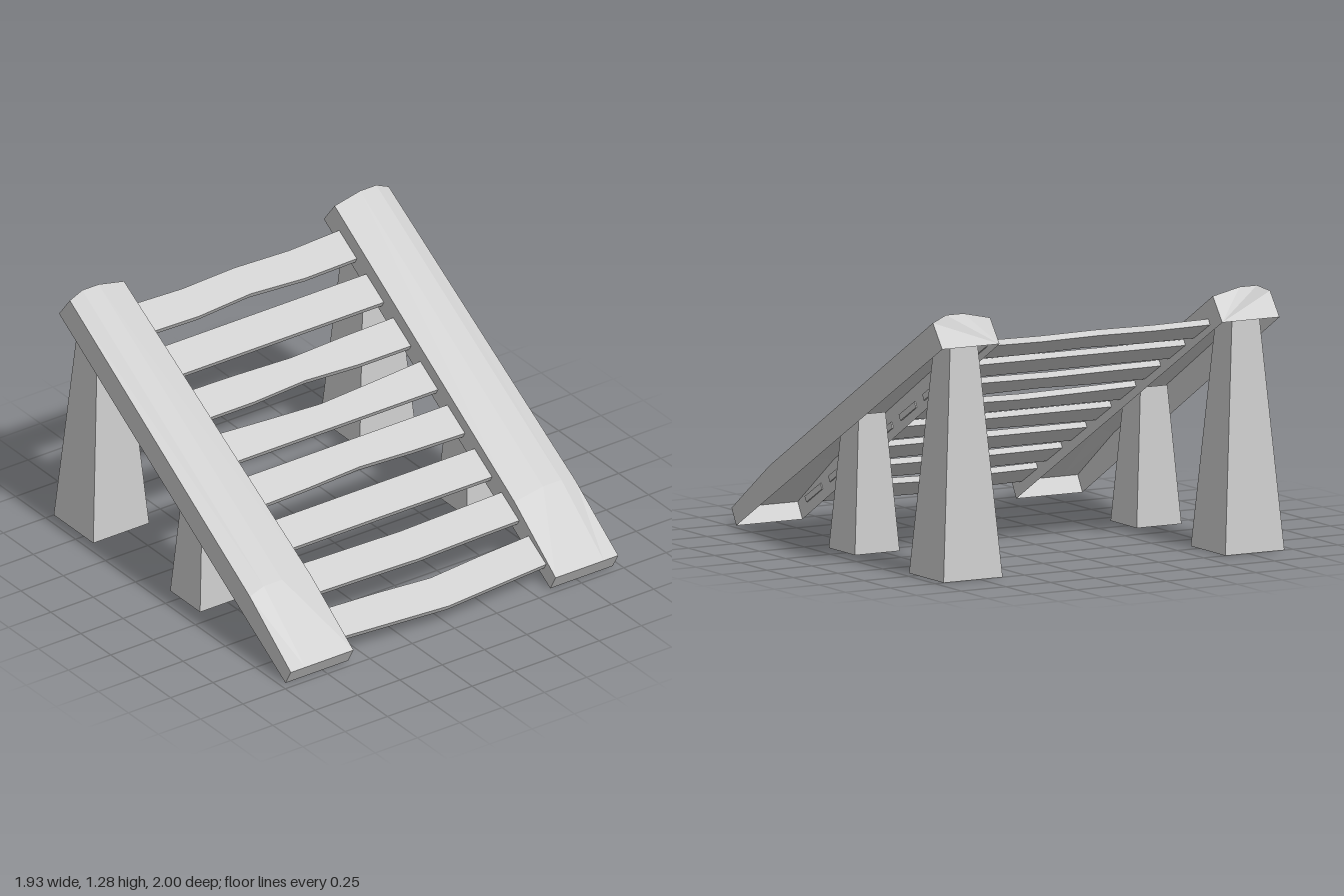
import * as THREE from 'three';

const SLOPE = 0.59;
const underside = z => SLOPE * (0.955 - z);
const material = new THREE.MeshStandardMaterial({ color: 0xcccccc, flatShading: true, side: THREE.DoubleSide });

// Skins a list of equal-length cross-sections; optional end caps.
function loft(rings, { closed = false, flip = false } = {}) {
  const pos = [];
  const tri = (a, b, c) => pos.push(...a, ...(flip ? c : b), ...(flip ? b : c));
  const n = rings[0].length;
  for (let i = 0; i < rings.length - 1; i++) {
    for (let j = 0; j < (closed ? n : n - 1); j++) {
      const k = (j + 1) % n;
      const [a, b, c, d] = [rings[i][j], rings[i + 1][j], rings[i + 1][k], rings[i][k]];
      tri(a, b, c);
      tri(a, c, d);
    }
  }
  const first = rings[0], last = rings[rings.length - 1];
  for (let j = 1; j < n - 1; j++) {
    tri(first[0], first[j], first[j + 1]);
    tri(last[0], last[j + 1], last[j]);
  }
  const g = new THREE.BufferGeometry();
  g.setAttribute('position', new THREE.Float32BufferAttribute(pos, 3));
  g.computeVertexNormals();
  return g;
}

function addMesh(parent, geometry, name) {
  const m = new THREE.Mesh(geometry, material);
  m.name = name;
  parent.add(m);
}

// Rail: bevelled shell, open underneath, wider at the low end
function rail(side) {
  const stations = [
    { zb: 0.955, zt: 1.0, edge: 0.08, crown: 0.08, inner: 0.597, outer: 0.967 },
    { zb: 0.56, zt: 0.65, edge: 0.335, crown: 0.365, inner: 0.602, outer: 0.962 },
    { zb: -0.97, zt: -0.88, edge: 1.252, crown: 1.285, inner: 0.622, outer: 0.942 },
  ];
  const rings = stations.map(s => {
    const at = (t, y, z) => [side * THREE.MathUtils.lerp(s.inner, s.outer, t), y, z];
    const yb = underside(s.zb);
    return [
      at(0, yb, s.zb), at(0, s.edge, s.zt), at(0.47, s.crown, s.zt),
      at(0.77, s.crown, s.zt), at(1, s.edge, s.zt), at(1, yb, s.zb),
    ];
  });
  return loft(rings, { flip: side > 0 });
}

// Leg: tapered square post with its top cut to the rail's slope
function leg(x, z, half, taper) {
  const g = new THREE.BoxGeometry(1, 1, 1).toNonIndexed();
  const p = g.attributes.position;
  for (let i = 0; i < p.count; i++) {
    const sx = Math.sign(p.getX(i)), sz = Math.sign(p.getZ(i));
    const y = p.getY(i) > 0 ? underside(z + sz * half * 0.5) + 0.1 : 0;
    const h = half - taper * y;
    p.setXYZ(i, x + sx * h, y, z + sz * h);
  }
  g.computeVertexNormals();
  return g;
}

// Slat: thin tilted board; [back, front] edge shifts at the quarter and the middle
function slat(index, quarter, middle) {
  const z = -0.84 + 0.23 * index, y = 1.135 - 0.133 * index;
  const half = 0.628 - 0.0032 * index;
  const rings = [-1, -0.5, 0, 0.5, 1].map(t => {
    const [b, f] = t === 0 ? middle : Math.abs(t) === 1 ? [0, 0] : quarter;
    const top = d => [t * half, y - 0.575 * d, z + d];
    const low = d => [t * half, y - 0.575 * d - 0.027, z + d - 0.015];
    return [top(b), top(0.15 + f), low(0.15 + f), low(b)];
  });
  return loft(rings, { closed: true, flip: true });
}

export function createModel() {
  const model = new THREE.Group();
  model.name = 'slattedRamp';

  for (const [side, label] of [[1, 'left'], [-1, 'right']]) {
    addMesh(model, rail(side), label + 'Rail');
    addMesh(model, leg(side * 0.787, 0.04, 0.125, 0.074), label + 'FrontLeg');
    addMesh(model, leg(side * 0.787, -0.835, 0.165, 0.078), label + 'RearLeg');
  }

  // Each board is bowed a little differently
  const bows = [
    [[0.01, 0.005], [0, -0.012]],
    [[0, 0], [0, 0]],
    [[0.005, 0], [0, -0.014]],
    [[0.016, 0], [0.03, 0]],
    [[0, -0.006], [0, -0.018]],
    [[0, 0], [0, 0]],
    [[0.006, 0.004], [0.004, 0.01]],
    [[0.012, 0.015], [0.03, 0.03]],
  ];
  // Two boards curve along the back edge as well
  bows[2][1][0] = 0.015;
  bows[6][1][0] = 0.012;
  const slats = new THREE.Group();
  slats.name = 'slats';
  bows.forEach(([q, m], i) => addMesh(slats, slat(i, q, m), 'slat' + (i + 1)));
  model.add(slats);
  return model;
}
